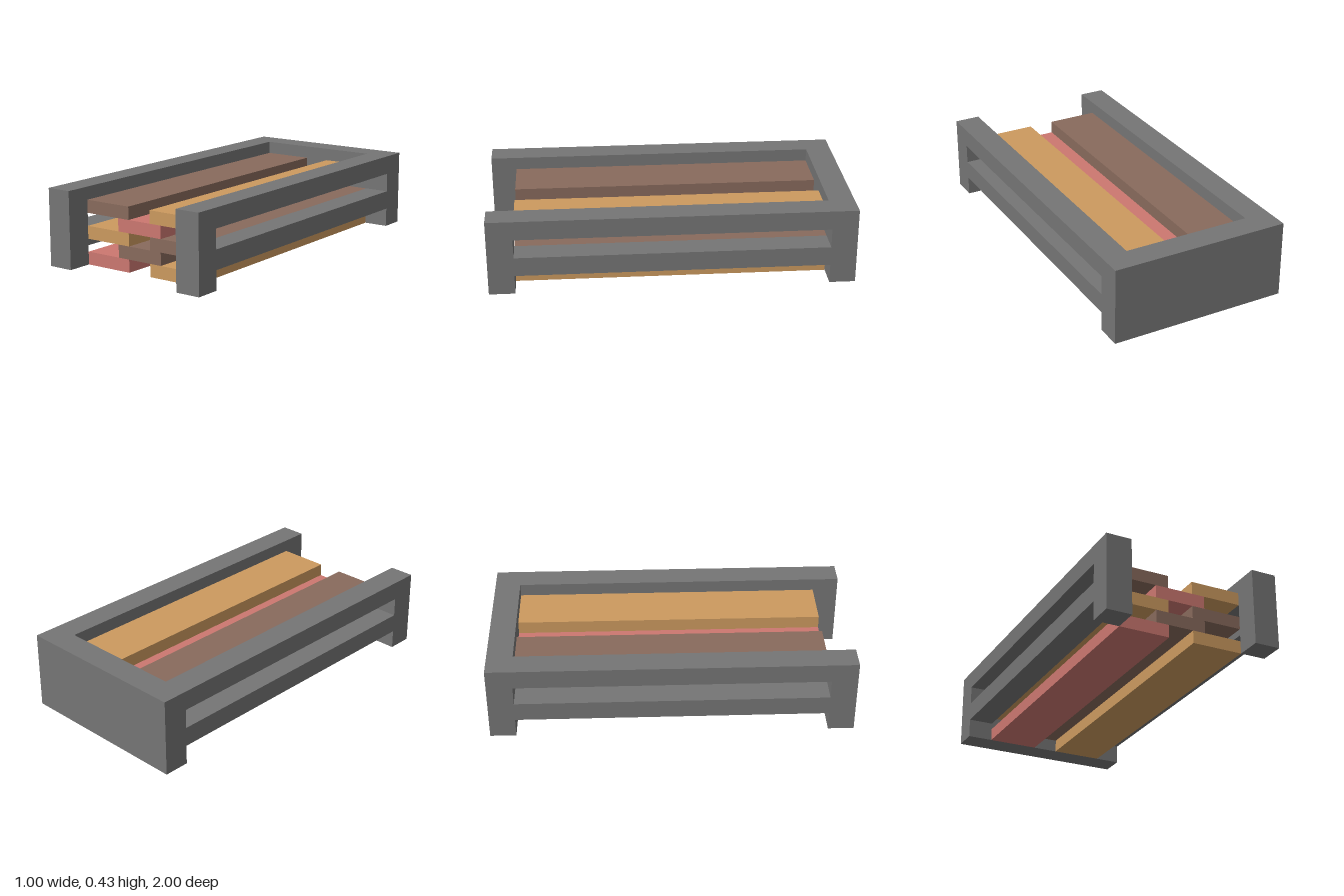
import * as THREE from 'three';

const U = 1 / 14; // base module: frame is 14 x 6 x 28 modules

const paint = (color) => new THREE.MeshStandardMaterial({ color, flatShading: true });

export function createModel() {
  const model = new THREE.Group();
  const grey = paint(0x757575);
  const red = paint(0xcc7770);
  const tan = paint(0xcc9a5f);
  const brown = paint(0x886a5c);

  const add = (parent, name, geometry, material) => {
    const mesh = new THREE.Mesh(geometry, material);
    mesh.name = name;
    parent.add(mesh);
    return mesh;
  };

  // Frame: two slotted sides joined by a solid back wall
  const frame = new THREE.Group();
  frame.name = 'frame';
  model.add(frame);

  // Side profile in (z, y): legs at both ends, open below the lower rail
  const profile = new THREE.Shape([
    [-14, 0], [-12, 0], [-12, 1.5], [12, 1.5], [12, 0], [14, 0], [14, 6], [-14, 6],
  ].map(([z, y]) => new THREE.Vector2(z * U, y * U)));
  // Long slot between the lower and upper rails
  profile.holes.push(new THREE.Path([
    [-12, 3], [-12, 4.5], [12, 4.5], [12, 3],
  ].map(([z, y]) => new THREE.Vector2(z * U, y * U))));
  const sideGeometry = new THREE.ExtrudeGeometry(profile, { depth: 2 * U, bevelEnabled: false });
  sideGeometry.rotateY(-Math.PI / 2);
  sideGeometry.translate(U, 0, 0);

  for (const [name, x] of [['leftSide', 6], ['rightSide', -6]]) {
    add(frame, name, sideGeometry, grey).position.x = x * U;
  }
  add(frame, 'backWall', new THREE.BoxGeometry(10 * U, 6 * U, 2 * U), grey)
    .position.set(0, 3 * U, -13 * U);

  // Planks: staggered layers, alternating a pair with a single centre plank
  const planks = new THREE.Group();
  planks.name = 'planks';
  model.add(planks);
  const plankGeometry = new THREE.BoxGeometry(4 * U, U, 24 * U);
  const layers = [
    [[-3, red], [3, tan]],
    [[0, brown]],
    [[-3, tan], [3, brown]],
    [[0, red]],
    [[-3, brown], [3, tan]],
  ];
  layers.forEach((layer, row) => {
    layer.forEach(([x, material], i) => {
      add(planks, `plank${row + 1}_${i + 1}`, plankGeometry, material)
        .position.set(x * U, (row + 0.5) * U, 0);
    });
  });

  return model;
}
